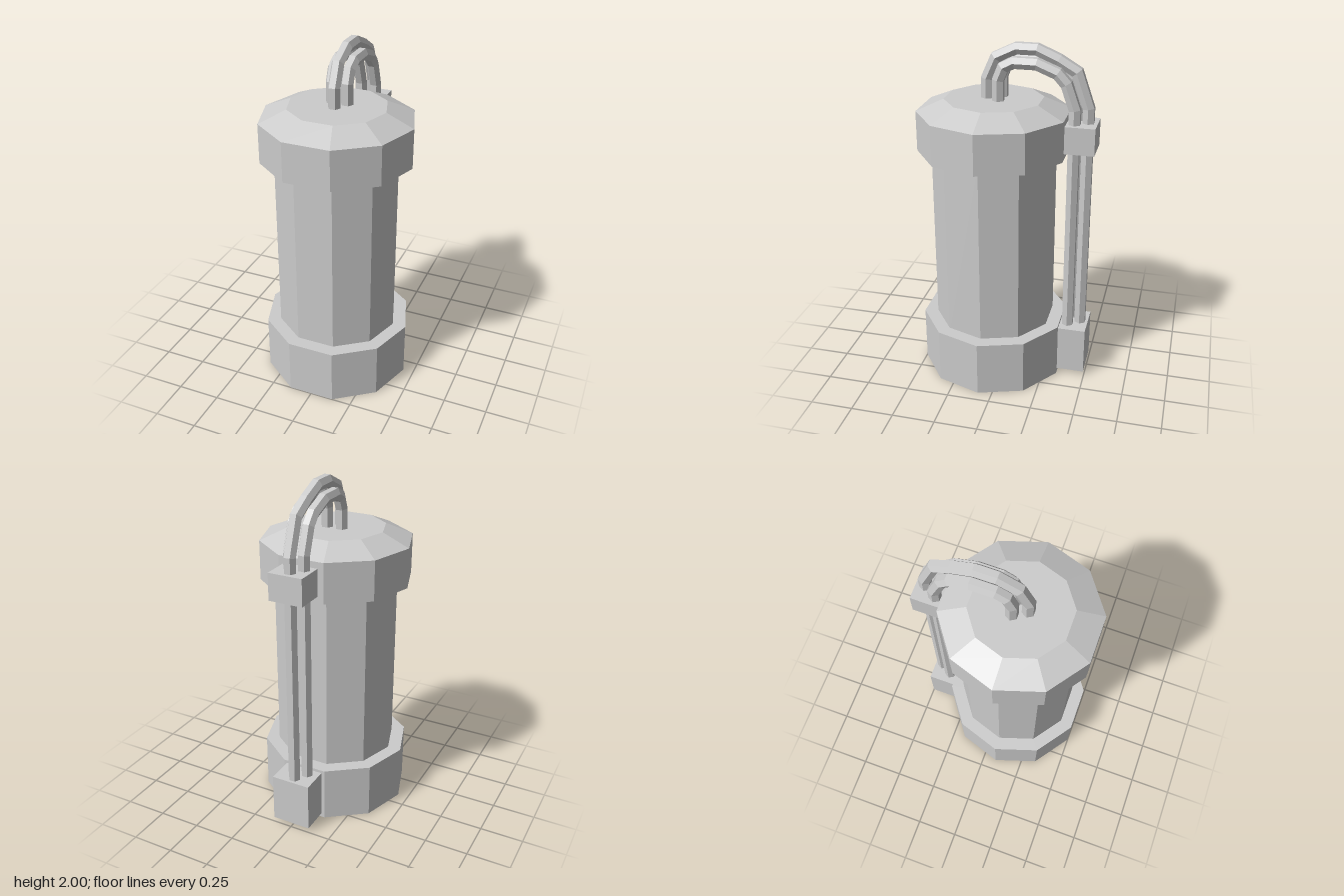
import * as THREE from 'three';

const CENTER_Z = 0.083; // axis of the canister
const mat = new THREE.MeshStandardMaterial({ color: 0xcccccc, flatShading: true });

function add(group, name, geometry, x = 0, y = 0, z = 0) {
  const mesh = new THREE.Mesh(geometry, mat);
  mesh.name = name;
  mesh.position.set(x, y, z);
  group.add(mesh);
}

// Ten-sided drum between two heights, with corners on the x axis
function drum(group, name, rTop, rBottom, y0, y1) {
  const g = new THREE.CylinderGeometry(rTop, rBottom, y1 - y0, 10, 1, false, Math.PI / 10);
  add(group, name, g, 0, (y0 + y1) / 2, CENTER_Z);
}

function box(group, name, halfWidth, y0, y1, z0, z1) {
  const g = new THREE.BoxGeometry(halfWidth * 2, y1 - y0, z1 - z0);
  add(group, name, g, 0, (y0 + y1) / 2, (z0 + z1) / 2);
}

// Hexagonal pipe with mitred bends, swept along [z, y] points
function pipeGeometry(path, r) {
  const pts = path.map(([z, y]) => new THREE.Vector3(0, y, z));
  const X = new THREE.Vector3(1, 0, 0);
  const last = pts.length - 1;
  const pos = [], idx = [];
  pts.forEach((p, i) => {
    const a = pts[Math.min(i + 1, last)].clone().sub(pts[Math.min(i, last - 1)]).normalize();
    const b = pts[Math.max(i, 1)].clone().sub(pts[Math.max(i - 1, 0)]).normalize();
    const t = a.clone().add(b).normalize();
    const n = t.clone().cross(X).multiplyScalar(1 / t.dot(a));
    for (let k = 0; k < 6; k++) {
      const ang = k * Math.PI / 3;
      const v = p.clone().addScaledVector(X, r * Math.cos(ang)).addScaledVector(n, r * Math.sin(ang));
      pos.push(v.x, v.y, v.z);
      if (i < last) {
        const q = i * 6 + k, w = i * 6 + (k + 1) % 6;
        idx.push(q, w, q + 6, w, w + 6, q + 6);
      }
    }
  });
  const g = new THREE.BufferGeometry();
  g.setAttribute('position', new THREE.Float32BufferAttribute(pos, 3));
  g.setIndex(idx);
  const flat = g.toNonIndexed();
  flat.computeVertexNormals();
  return flat;
}

export function createModel() {
  const group = new THREE.Group();
  group.name = 'canister';

  // Canister body and end caps
  drum(group, 'bottomCap', 0.437, 0.437, 0, 0.33);
  drum(group, 'body', 0.357, 0.357, 0.3, 1.41);
  drum(group, 'topCap', 0.437, 0.437, 1.387, 1.617);
  drum(group, 'topBevel', 0.28, 0.437, 1.617, 1.685);

  // Blocks holding the pipes at the back
  box(group, 'upperPipeBlock', 0.1, 1.425, 1.58, -0.5, -0.3);
  box(group, 'lowerPipeBlock', 0.116, 0.025, 0.313, -0.495, -0.3);

  // Pipes: one tall centre arch and a lower one on each side
  const outer = [[0.122, 1.66], [0.122, 1.795], [0.07, 1.913], [-0.043, 1.968], [-0.157, 1.968],
    [-0.276, 1.917], [-0.378, 1.857], [-0.447, 1.662], [-0.447, 0.29]];
  const inner = [[0.048, 1.66], [0.048, 1.8], [0.02, 1.87], [-0.037, 1.9], [-0.164, 1.9],
    [-0.278, 1.855], [-0.328, 1.8], [-0.378, 1.66], [-0.378, 0.29]];
  add(group, 'centrePipe', pipeGeometry(outer, 0.036), -0.002);
  add(group, 'leftPipe', pipeGeometry(inner, 0.036), 0.042);
  add(group, 'rightPipe', pipeGeometry(inner, 0.036), -0.046);

  return group;
}
